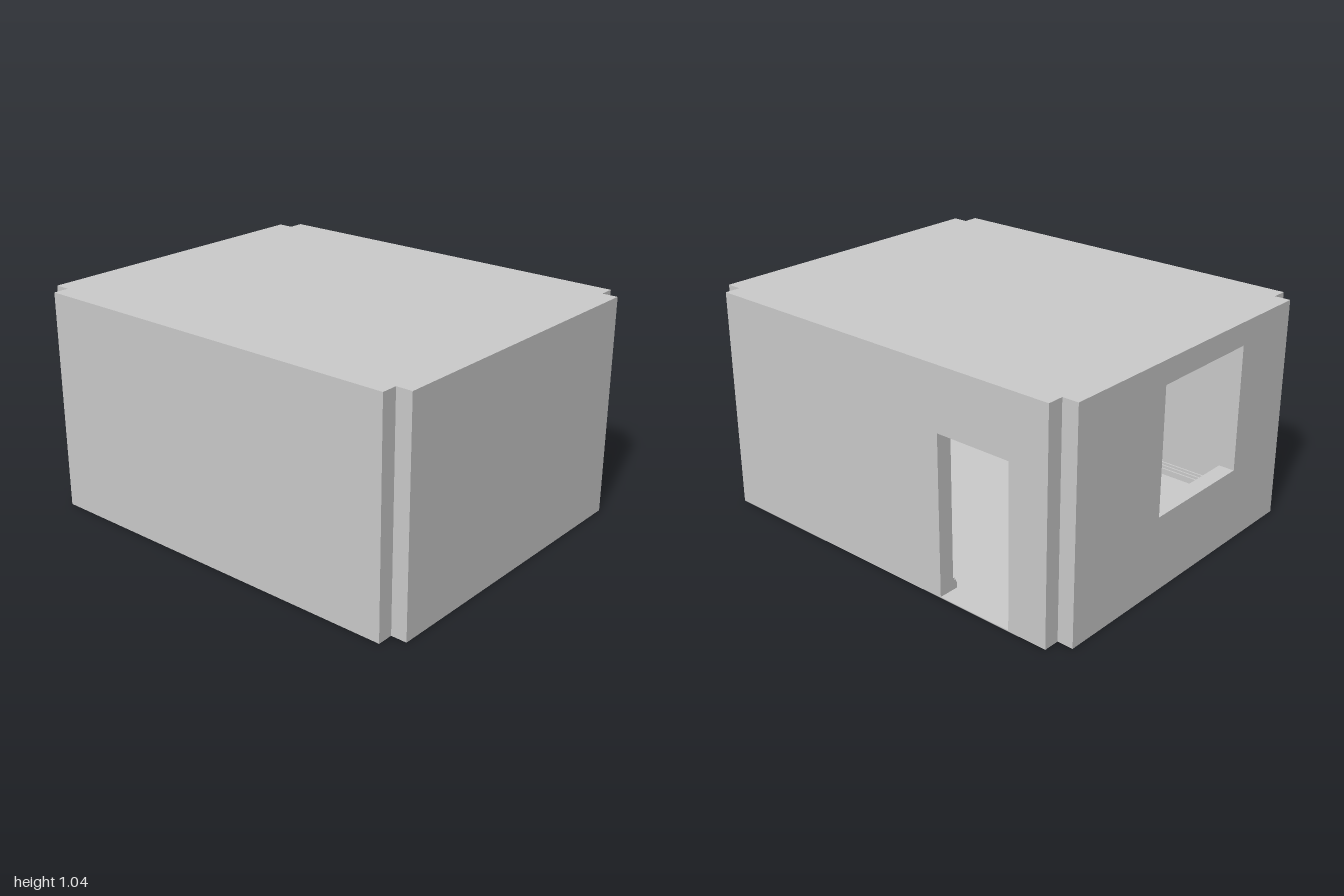
import * as THREE from 'three';

const HX = 0.925, HZ = 0.74;      // half size of the room inside
const T = 0.075, H = 1.04;        // wall thickness, full height
const SLAB = 0.005;               // floor and ceiling thickness

const material = new THREE.MeshStandardMaterial({ color: 0xcccccc, flatShading: true });

function mesh(name, geometry) {
  const m = new THREE.Mesh(geometry, material);
  m.name = name;
  return m;
}

function polygon(points) {
  return new THREE.Shape(points.map(([x, y]) => new THREE.Vector2(x, y)));
}

function extrude(shape, depth) {
  return new THREE.ExtrudeGeometry(shape, { depth, bevelEnabled: false });
}

// Stepped trim profiles: distance from the wall, height
const skirtingProfile = [[0, 0], [0.024, 0], [0.024, 0.03], [0.016, 0.03], [0.016, 0.043],
  [0.008, 0.043], [0.008, 0.055], [0, 0.055]].map(([d, y]) => [d, y + SLAB]);
const corniceProfile = [[0, 0], [0.048, 0], [0.048, 0.018], [0.032, 0.018], [0.032, 0.038],
  [0.016, 0.038], [0.016, 0.06], [0, 0.06], [0, 0]].slice(0, 8).map(([d, y]) => [d, H - SLAB - y]);

// Trim running along the inner face of a wall from x0 to x1
function trim(name, profile, x0, x1) {
  const g = extrude(polygon(profile), x1 - x0);
  g.rotateY(Math.PI / 2);
  g.translate(x0, 0, 0);
  return mesh(name, g);
}

// Wall slab in its own frame: x along the wall, z outward
function wall(name, half, { door, window: win } = {}) {
  const group = new THREE.Group();
  group.name = name;
  const b = SLAB, t = H - SLAB;
  const outline = [[-half, b]];
  if (door) outline.push([door.x0, b], [door.x0, door.top], [door.x1, door.top], [door.x1, b]);
  outline.push([half, b], [half, t], [-half, t]);
  const shape = polygon(outline);
  if (win) {
    shape.holes.push(polygon([[win.x0, win.y0], [win.x0, win.y1], [win.x1, win.y1], [win.x1, win.y0]]));
  }
  group.add(mesh(name + 'Slab', extrude(shape, T)));

  // Skirting stops at the doorway
  const runs = door ? [[-half, door.x0], [door.x1, half]] : [[-half, half]];
  for (const [x0, x1] of runs) group.add(trim('skirting', skirtingProfile, x0, x1));
  group.add(trim('cornice', corniceProfile, -half, half));
  return group;
}

// Thin slab following the outer plan with its notched corners
function slab(name, y) {
  const X = HX + T, Z = HZ + T;
  const g = extrude(polygon([
    [-HX, -Z], [HX, -Z], [HX, -HZ], [X, -HZ], [X, HZ], [HX, HZ],
    [HX, Z], [-HX, Z], [-HX, HZ], [-X, HZ], [-X, -HZ], [-HX, -HZ],
  ]), SLAB);
  g.rotateX(-Math.PI / 2);
  g.translate(0, y, 0);
  return mesh(name, g);
}

export function createModel() {
  const room = new THREE.Group();
  room.name = 'room';

  room.add(slab('floor', 0), slab('ceiling', H - SLAB));

  const front = wall('frontWall', HX);
  front.position.z = HZ;

  const back = wall('backWall', HX, { door: { x0: 0.365, x1: 0.735, top: 0.75 } });
  back.position.z = -HZ;
  back.rotation.y = Math.PI;

  const left = wall('leftWall', HZ);
  left.position.x = HX;
  left.rotation.y = Math.PI / 2;

  const right = wall('rightWall', HZ, { window: { x0: -0.19, x1: 0.375, y0: 0.35, y1: 0.933 } });
  right.position.x = -HX;
  right.rotation.y = -Math.PI / 2;

  room.add(front, back, left, right);
  return room;
}
